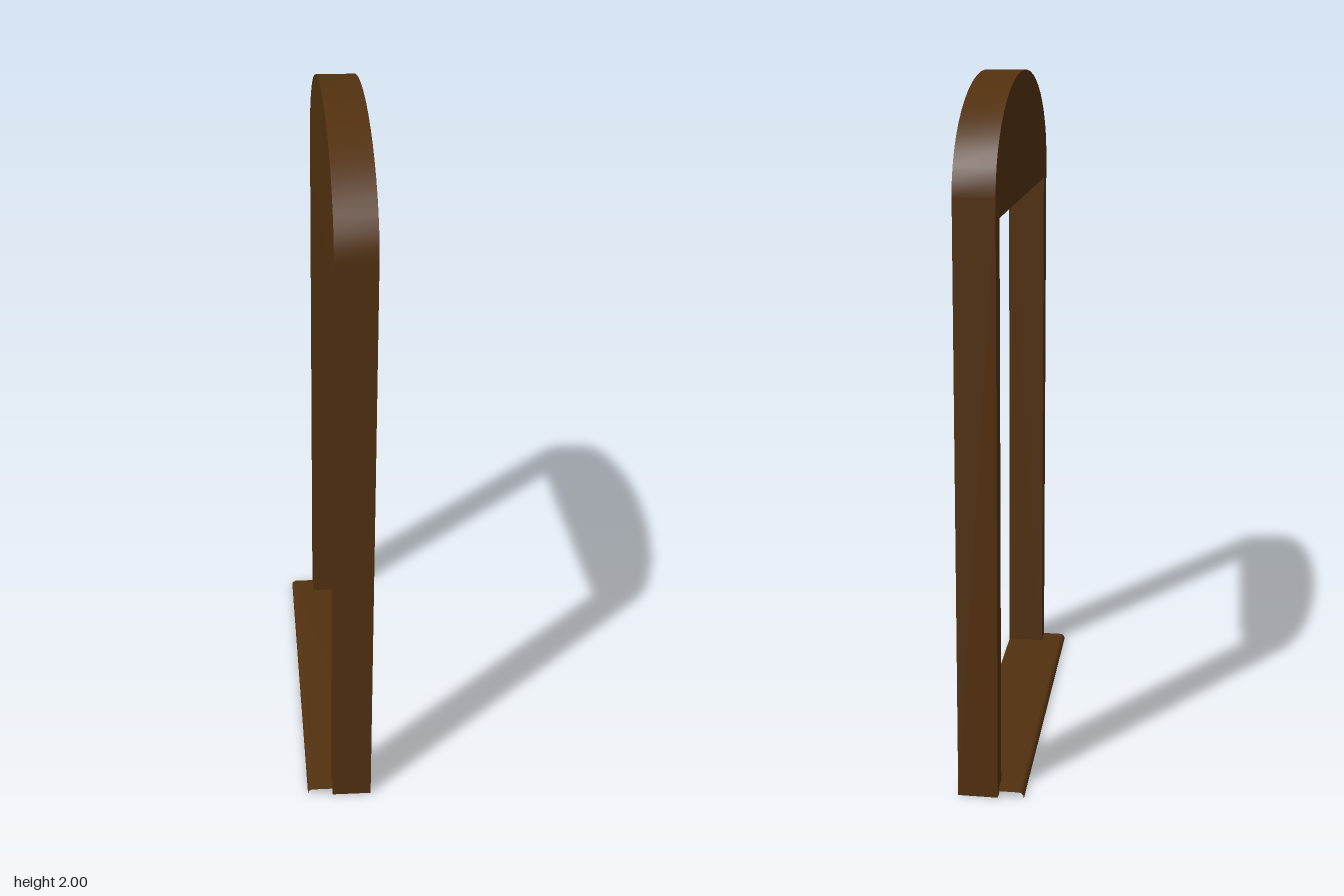
import * as THREE from 'three';

const BACK = -0.02, FRONT = 0.094;      // depth of the frame along x
const HALF = 0.57, OPEN = 0.5;          // outer and opening half widths
const SPRING = 1.7, LINTEL = 1.64;      // arch start and opening top
const SILL_Y = 0.018;

// Thin sheet spanning two matching edges of points.
function sheet(edgeA, edgeB, smooth) {
  const n = edgeA.length, index = [];
  for (let i = 0; i < n - 1; i++) index.push(i, i + 1, n + i, i + 1, n + i + 1, n + i);
  let geo = new THREE.BufferGeometry().setFromPoints([...edgeA, ...edgeB]);
  geo.setIndex(index);
  if (!smooth) geo = geo.toNonIndexed();
  geo.computeVertexNormals();
  return geo;
}

export function createModel() {
  const group = new THREE.Group();
  const wood = new THREE.MeshStandardMaterial({ color: 0x52310f, side: THREE.DoubleSide });
  wood.name = 'dark brown wood';
  const add = (name, geo) => {
    const mesh = new THREE.Mesh(geo, wood);
    mesh.name = name;
    group.add(mesh);
  };

  // Outline of the frame as (z, y): straight sides and an elliptical arch
  const outline = [new THREE.Vector2(HALF, 0)];
  const steps = 24;
  for (let i = 0; i <= steps; i++) {
    const t = (i / steps) * Math.PI;
    outline.push(new THREE.Vector2(HALF * Math.cos(t), SPRING + (2 - SPRING) * Math.sin(t)));
  }
  outline.push(new THREE.Vector2(-HALF, 0));

  // Rectangular opening, running back the other way
  const opening = [[-OPEN, 0], [-OPEN, LINTEL], [OPEN, LINTEL], [OPEN, 0]]
    .map(([z, y]) => new THREE.Vector2(z, y));

  const atX = (points, x) => points.map((p) => new THREE.Vector3(x, p.y, p.x));

  // Outer casing and opening lining, both thin sheets open towards +x
  add('outerCasing', sheet(atX(outline, FRONT), atX(outline, BACK), true));
  add('openingLining', sheet(atX(opening, BACK), atX(opening, FRONT), false));

  // Face panel with jambs and arched head
  const face = new THREE.ShapeGeometry(new THREE.Shape([...outline, ...opening]));
  face.rotateY(Math.PI / 2);
  face.translate(BACK, 0, 0);
  add('facePanel', face);

  // Threshold plate with a rounded lip on the -x side
  const profile = [[FRONT, SILL_Y], [-0.081, SILL_Y], [-0.088, 0.015], [-0.093, 0.009], [-0.094, 0]];
  const atZ = (z) => profile.map(([x, y]) => new THREE.Vector3(x, y, z));
  add('threshold', sheet(atZ(-0.565), atZ(0.565), false));

  return group;
}
